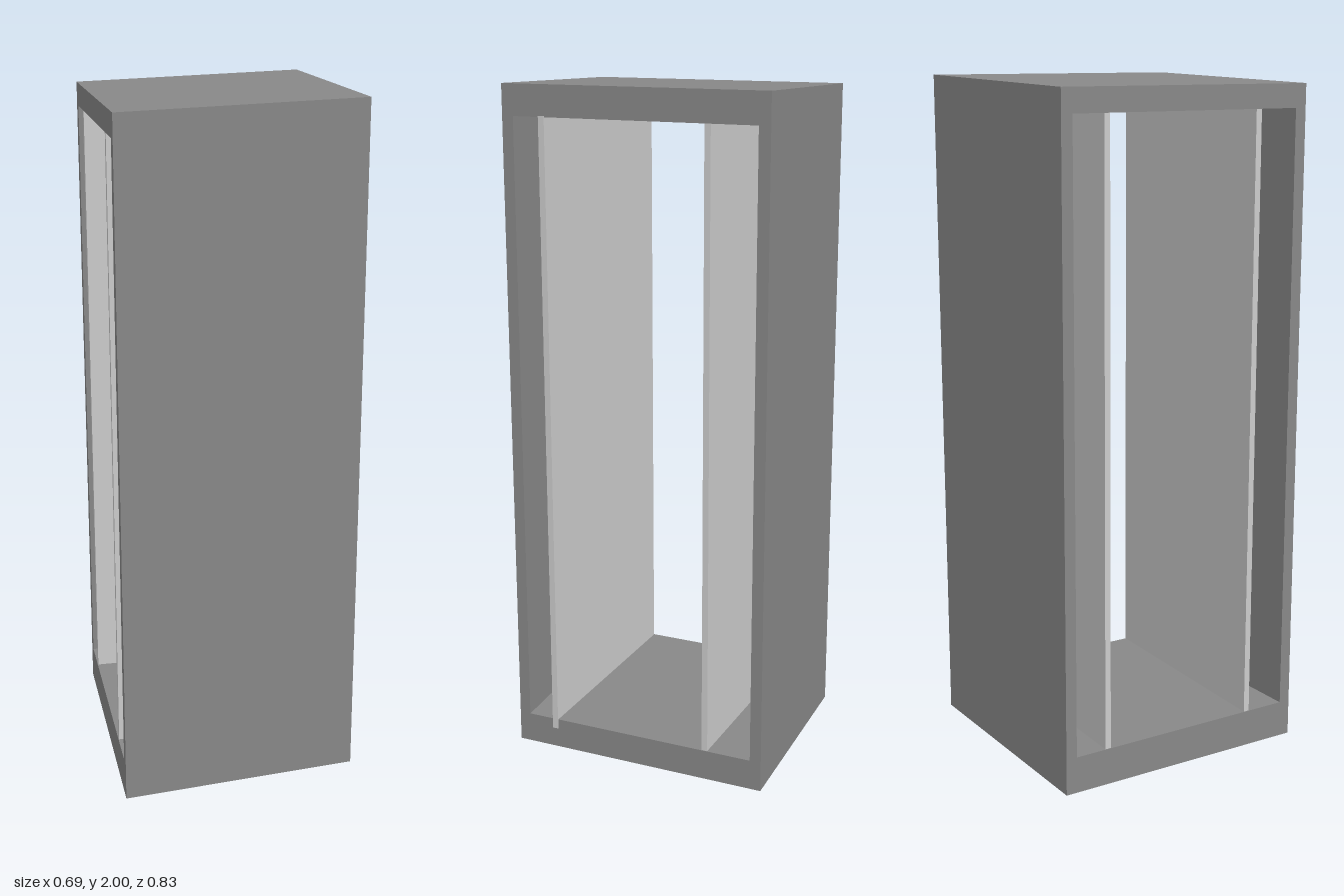
import * as THREE from 'three';

// Rectangle outline centred on x = 0
function rect(target, halfWidth, bottom, top) {
  target.moveTo(-halfWidth, bottom);
  target.lineTo(halfWidth, bottom);
  target.lineTo(halfWidth, top);
  target.lineTo(-halfWidth, top);
  target.closePath();
  return target;
}

export function createModel() {
  const model = new THREE.Group();
  const width = 0.69;
  const bodyMaterial = new THREE.MeshStandardMaterial({ color: 0x888888, flatShading: true });
  const paneMaterial = new THREE.MeshStandardMaterial({ color: 0xcccccc, flatShading: true });

  // Skewed casing, open through both sides
  const section = rect(new THREE.Shape(), 0.395, 0.01, 1.99);
  section.holes.push(rect(new THREE.Path(), 0.361, 0.11, 1.912));
  const casing = new THREE.ExtrudeGeometry(section, { depth: width, bevelEnabled: false });
  casing.rotateY(Math.PI / 2).translate(-width / 2, 0, 0);

  // Slant the casing in depth; the top and bottom also rise towards +x
  const p = casing.attributes.position;
  for (let i = 0; i < p.count; i++) {
    const x = p.getX(i), y = p.getY(i);
    p.setZ(i, p.getZ(i) - 0.055 * x);
    if (y < 0.05 || y > 1.95) p.setY(i, y + 0.029 * x);
  }
  casing.computeVertexNormals();
  const body = new THREE.Mesh(casing, bodyMaterial);
  body.name = 'casing';
  model.add(body);

  // Two straight upright panes inside; the front one stands slightly proud at +x
  const panes = [
    ['frontPane', 0.254, -0.343, 0.347],
    ['backPane', -0.237, -0.343, 0.343],
  ];
  for (const [name, z, x0, x1] of panes) {
    const pane = new THREE.Mesh(new THREE.BoxGeometry(x1 - x0, 1.835, 0.018), paneMaterial);
    pane.position.set((x0 + x1) / 2, 0.9975, z);
    pane.name = name;
    model.add(pane);
  }
  return model;
}
